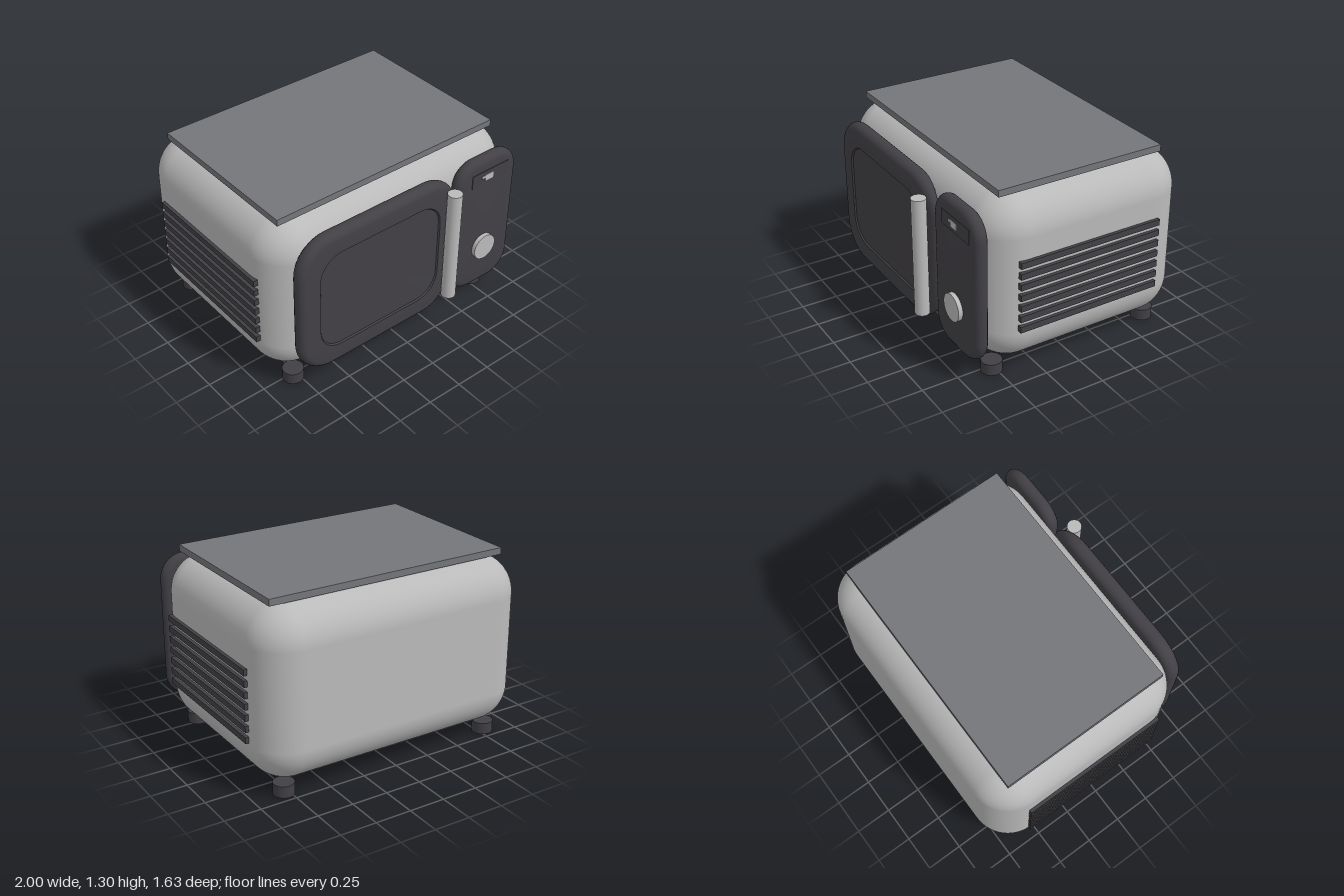
import * as THREE from 'three';
import { toCreasedNormals } from 'three/addons/utils/BufferGeometryUtils.js';
import { RoundedBoxGeometry } from 'three/addons/geometries/RoundedBoxGeometry.js';

const mat = (name, color) => {
  const m = new THREE.MeshStandardMaterial({ color });
  m.name = name;
  return m;
};

// Rounded-rectangle outline with a fixed number of points, counter-clockwise
function outline(hw, hh, r, n = 10) {
  const pts = [];
  const corners = [[1, 1], [-1, 1], [-1, -1], [1, -1]];
  corners.forEach(([sx, sy], c) => {
    for (let i = 0; i <= n; i++) {
      const a = (c + i / n) * Math.PI / 2;
      pts.push([sx * (hw - r) + r * Math.cos(a), sy * (hh - r) + r * Math.sin(a)]);
    }
  });
  return pts;
}

// Soft slab lofted through rings of [inset, z, corner radius], closed at both ends
function softSlab(cx, cy, hw, hh, rings, bend) {
  const pos = [], index = [];
  const add = (x, y, z) => pos.push(x, y, bend(x, z));
  add(cx, cy, rings[0][1]);
  let n = 0;
  for (const [inset, z, r] of rings) {
    const pts = outline(hw - inset, hh - inset, r);
    n = pts.length;
    for (const [x, y] of pts) add(cx + x, cy + y, z);
  }
  add(cx, cy, rings[rings.length - 1][1]);
  const last = pos.length / 3 - 1;
  for (let j = 0; j < n; j++) {
    const k = (j + 1) % n;
    index.push(0, 1 + k, 1 + j);
    for (let i = 0; i < rings.length - 1; i++) {
      const a = 1 + i * n, b = a + n;
      index.push(a + j, a + k, b + k, a + j, b + k, b + j);
    }
    index.push(last - n + j, last - n + k, last);
  }
  const g = new THREE.BufferGeometry();
  g.setAttribute('position', new THREE.Float32BufferAttribute(pos, 3));
  g.setIndex(index);
  return toCreasedNormals(g, 0.6);
}

// Half-round edge profile running from the back to the front
function edgeRings(zBack, zFront, radius) {
  const rings = [], mid = (zBack + zFront) / 2, h = (zFront - zBack) / 2;
  for (let i = 0; i <= 10; i++) {
    const a = -Math.PI / 2 + i / 10 * Math.PI;
    const inset = 0.05 * (1 - Math.cos(a));
    rings.push([inset, mid + h * Math.sin(a), radius - inset]);
  }
  return rings;
}

export function createModel() {
  const model = new THREE.Group();
  const silver = mat('silver', 0xbababa);
  const dark = mat('charcoal', 0x424045);
  const grey = mat('midGrey', 0x75767a);

  const add = (name, geometry, material, x = 0, y = 0, z = 0) => {
    const m = new THREE.Mesh(geometry, material);
    m.name = name;
    m.position.set(x, y, z);
    model.add(m);
    return m;
  };
  const box = (name, w, h, d, material, x, y, z) =>
    add(name, new THREE.BoxGeometry(w, h, d), material, x, y, z);

  // Soft housing and the flat tray on top
  add('body', new RoundedBoxGeometry(1.955, 1.175, 1.455, 10, 0.26), silver, 0, 0.672, -0.09);
  box('topPlate', 1.725, 0.045, 1.18, grey, 0, 1.278, -0.07);

  // Door with a sunken window, thinning towards the handle side
  const doorRings = edgeRings(0.625, 0.728, 0.25);
  doorRings.push([0.15, 0.728, 0.17], [0.158, 0.718, 0.162]);
  add('door', softSlab(-0.225, 0.672, 0.635, 0.518, doorRings, (x, z) => {
    const t = Math.max(0, (x - 0.15) / 0.27);
    return 0.675 + (z - 0.675) * (1 - 0.5 * t * t);
  }), dark);

  // Control panel
  add('controlPanel', softSlab(0.677, 0.672, 0.263, 0.518,
    edgeRings(0.622, 0.715, 0.17), (x, z) => z), dark);

  // Display with small light marks
  box('display', 0.32, 0.1, 0.006, dark, 0.695, 1.045, 0.716);
  box('displayMark', 0.07, 0.046, 0.004, silver, 0.68, 1.045, 0.721);
  box('displayMarkSmall', 0.03, 0.016, 0.004, silver, 0.63, 1.055, 0.721);

  // Knob and handle
  const knob = add('knob', new THREE.CylinderGeometry(0.093, 0.093, 0.04, 40), silver, 0.675, 0.475, 0.724);
  knob.rotation.x = Math.PI / 2;
  add('handle', new THREE.CylinderGeometry(0.049, 0.049, 0.825, 32), silver, 0.335, 0.672, 0.766);

  // Vent slats and feet, mirrored on both sides
  for (const s of [-1, 1]) {
    for (let i = 0; i < 7; i++) {
      box('ventSlat', 0.04, 0.042, 1.025, dark, s * 0.98, 0.388 + i * 0.075, -0.067);
    }
    for (const z of [0.525, -0.655]) {
      add('foot', new THREE.CylinderGeometry(0.07, 0.07, 0.08, 32), dark, s * 0.785, 0.04, z);
    }
  }
  return model;
}
